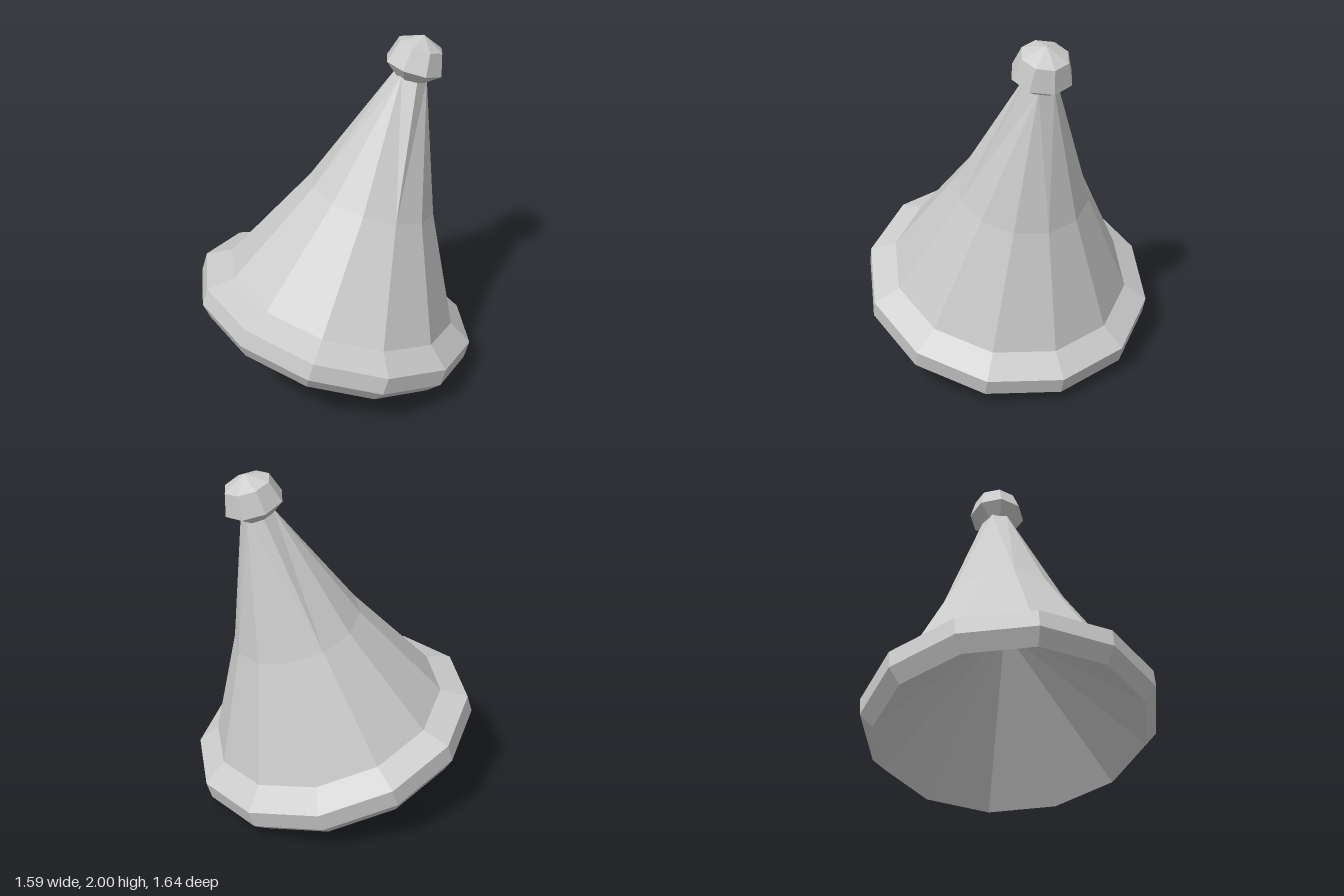
import * as THREE from 'three';

function facetedMesh(name, geometry) {
  const material = new THREE.MeshStandardMaterial({
    color: 0xcccccc, flatShading: true, side: THREE.DoubleSide,
  });
  const mesh = new THREE.Mesh(geometry, material);
  mesh.name = name;
  return mesh;
}

// Surface of revolution from [radius, height] pairs, bottom to top
function lathe(name, profile, sides) {
  const points = profile.map(([r, h]) => new THREE.Vector2(r, h));
  return facetedMesh(name, new THREE.LatheGeometry(points, sides));
}

// Joins a twelve-sided lower ring to a six-sided neck, one quadrant mirrored four times
function taper(name, [lowR, lowH], [neckR, neckH]) {
  const ring = (r, h, step) => {
    const a = step * Math.PI / 6;
    return [r * Math.cos(a), h, r * Math.sin(a)];
  };
  const [m0, m1, m2, m3] = [0, 1, 2, 3].map((k) => ring(lowR, lowH, k));
  const n1 = ring(neckR, neckH, 1);
  const n3 = ring(neckR, neckH, 3);
  const n0 = [n1[0], neckH, 0];
  const quadrant = [[m0, n0, n1], [m0, n1, m1], [m1, n1, m2], [m2, n1, m3], [m3, n1, n3]];

  const positions = [];
  for (const sx of [1, -1]) {
    for (const sz of [1, -1]) {
      for (const [a, b, c] of quadrant) {
        const corners = sx * sz > 0 ? [a, b, c] : [a, c, b];
        for (const [x, y, z] of corners) positions.push(sx * x, y, sz * z);
      }
    }
  }
  const geometry = new THREE.BufferGeometry();
  geometry.setAttribute('position', new THREE.Float32BufferAttribute(positions, 3));
  geometry.computeVertexNormals();
  return facetedMesh(name, geometry);
}

export function createModel() {
  const hat = new THREE.Group();
  hat.name = 'hat';

  // Thick bevelled band around the opening
  hat.add(lathe('brim', [[0.75, 0], [0.818, 0.08], [0.818, 0.184], [0.677, 0.266]], 12));

  // Conical hollow rising from the lower edge of the band
  hat.add(lathe('hollow', [[0, 0.75], [0.75, 0]], 12));

  // Tall crown, flared towards the brim
  hat.add(lathe('lowerCrown', [[0.677, 0.266], [0.367, 0.886]], 12));
  hat.add(taper('upperCrown', [0.367, 0.886], [0.09, 1.63]));

  // Faceted bobble on the tip
  hat.add(lathe('bobble', [[0, 1.612], [0.086, 1.612], [0.167, 1.68], [0.129, 1.804], [0, 1.862]], 8));

  // Lean the whole hat towards +x
  hat.rotation.z = -THREE.MathUtils.degToRad(17.1);
  hat.position.set(-0.04, 0.221, 0);

  const model = new THREE.Group();
  model.name = 'leaningHat';
  model.add(hat);
  return model;
}
